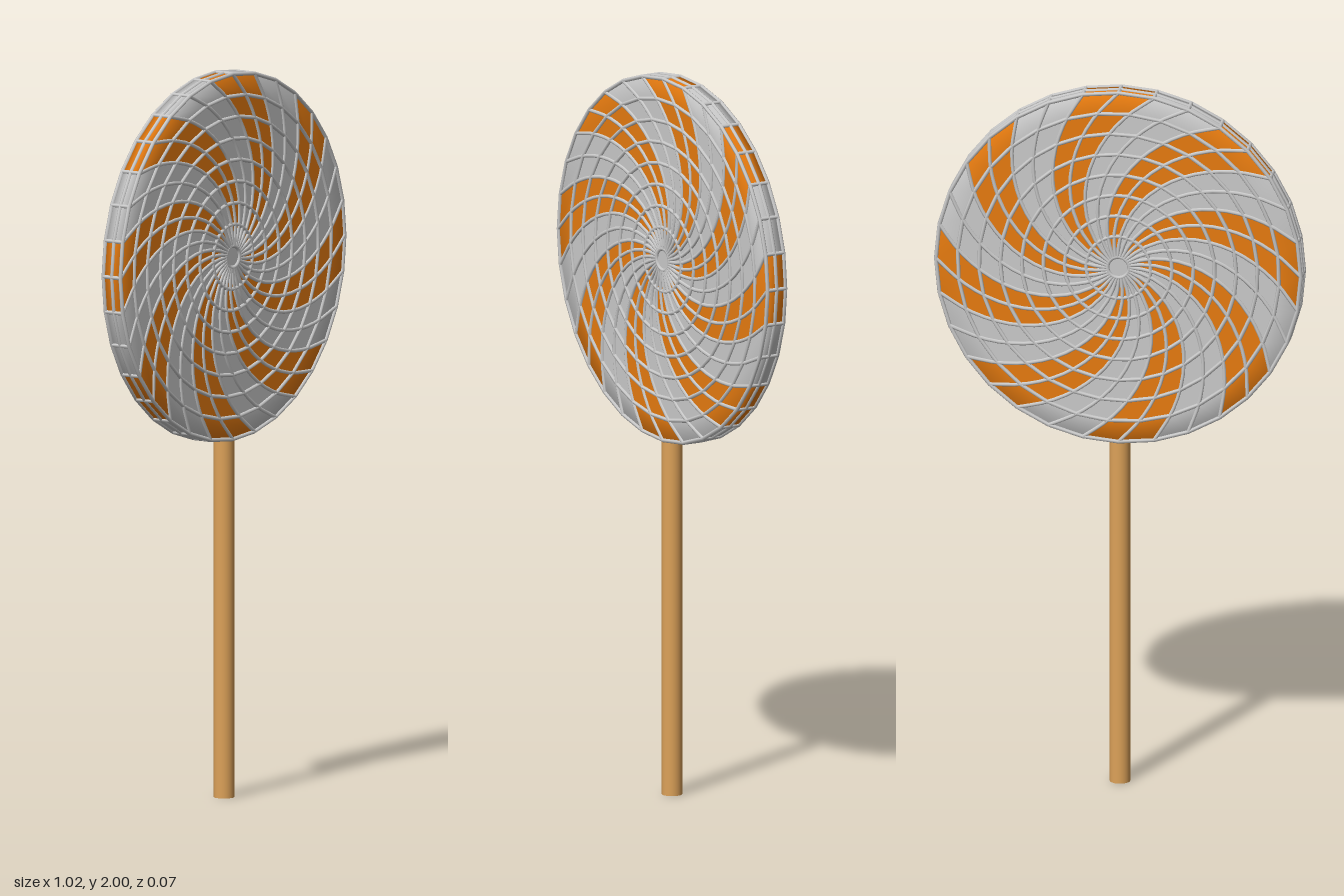
import * as THREE from 'three';
import { mergeGeometries } from 'three/addons/utils/BufferGeometryUtils.js';

const SEGMENTS = 32;
const RINGS = 8; // rings of cells on each face
const CENTRE_Y = 1.491;
const RADIUS = 0.503;
const HUB = 0.03;
const HALF = 0.029; // half thickness of the candy
const WIRE = 0.0055;
const TWIST = THREE.MathUtils.degToRad(7.5); // turn per ring towards the centre

const ringRadius = (k) => HUB + (RADIUS - HUB) * (k / RINGS);

// Point of the swirl: k = ring from the hub outwards, i = segment
function swirlPoint(k, i, z) {
  const a = Math.PI / 2 + (i / SEGMENTS) * Math.PI * 2 - (RINGS - k) * TWIST;
  const r = ringRadius(k);
  return new THREE.Vector3(r * Math.cos(a), r * Math.sin(a), z);
}

// Cross-section rows: front hub -> front rim -> middle -> back rim -> back hub
function sectionRows() {
  const rows = [];
  for (let k = 0; k <= RINGS; k++) rows.push([k, HALF]);
  rows.push([RINGS, 0]);
  for (let k = RINGS; k >= 0; k--) rows.push([k, -HALF]);
  return rows;
}

// Candy cells, split into pairs of coloured and plain stripes
function candyGeometries() {
  const rows = sectionRows();
  const positions = [];
  const striped = [];
  const plain = [];
  for (const [k, z] of rows) {
    for (let i = 0; i < SEGMENTS; i++) positions.push(...swirlPoint(k, i, z).toArray());
  }
  for (let row = 0; row < rows.length - 1; row++) {
    for (let i = 0; i < SEGMENTS; i++) {
      const j = (i + 1) % SEGMENTS;
      const a = row * SEGMENTS + i;
      const b = row * SEGMENTS + j;
      const c = b + SEGMENTS;
      const d = a + SEGMENTS;
      const target = i % 4 === 0 || i % 4 === 3 ? striped : plain;
      target.push(a, d, c, a, c, b);
    }
  }
  const whole = new THREE.BufferGeometry();
  whole.setAttribute('position', new THREE.Float32BufferAttribute(positions, 3));
  whole.setIndex([...striped, ...plain]);
  whole.computeVertexNormals();
  return [striped, plain].map((index) => {
    const part = whole.clone();
    part.setIndex(index);
    return part;
  });
}

// Raised lattice: spiral strands on both faces, short bars across the rim, rings
function latticeGeometry() {
  const parts = [];
  for (const z of [HALF, -HALF]) {
    for (let i = 0; i < SEGMENTS; i++) {
      const points = [];
      for (let k = 0; k <= RINGS; k++) points.push(swirlPoint(k, i, z));
      parts.push(new THREE.TubeGeometry(new THREE.CatmullRomCurve3(points), 16, WIRE, 6));
    }
    for (let k = 0; k <= RINGS; k++) {
      const ring = new THREE.TorusGeometry(ringRadius(k), WIRE, 6, SEGMENTS);
      ring.rotateZ(-(RINGS - k) * TWIST);
      ring.translate(0, 0, z);
      parts.push(ring);
    }
  }
  for (let i = 0; i < SEGMENTS; i++) {
    const bar = new THREE.LineCurve3(swirlPoint(RINGS, i, HALF), swirlPoint(RINGS, i, -HALF));
    parts.push(new THREE.TubeGeometry(bar, 1, WIRE, 6));
  }
  parts.push(new THREE.TorusGeometry(RADIUS, WIRE, 6, SEGMENTS));
  return mergeGeometries(parts);
}

export function createModel() {
  const model = new THREE.Group();
  model.name = 'lollipop';

  const grey = new THREE.MeshStandardMaterial({ color: 0xcccccc });
  const orange = new THREE.MeshStandardMaterial({ color: 0xe87c10 });
  const wood = new THREE.MeshStandardMaterial({ color: 0xdda259 });

  const add = (parent, name, geometry, material) => {
    const mesh = new THREE.Mesh(geometry, material);
    mesh.name = name;
    parent.add(mesh);
    return mesh;
  };

  // Candy disc
  const candy = new THREE.Group();
  candy.name = 'candy';
  candy.position.y = CENTRE_Y;
  model.add(candy);
  const [striped, plain] = candyGeometries();
  add(candy, 'orangeStripes', striped, orange);
  add(candy, 'plainStripes', plain, grey);
  add(candy, 'lattice', latticeGeometry(), grey);

  // Hub closing the centre on both faces
  const hub = new THREE.CylinderGeometry(HUB, HUB, HALF * 2, SEGMENTS);
  add(candy, 'hub', hub.rotateX(Math.PI / 2), grey);

  // Stick, its top end inside the candy
  const stickTop = 1.02;
  const stick = add(model, 'stick', new THREE.CylinderGeometry(0.028, 0.028, stickTop, 32), wood);
  stick.position.y = stickTop / 2;

  return model;
}
